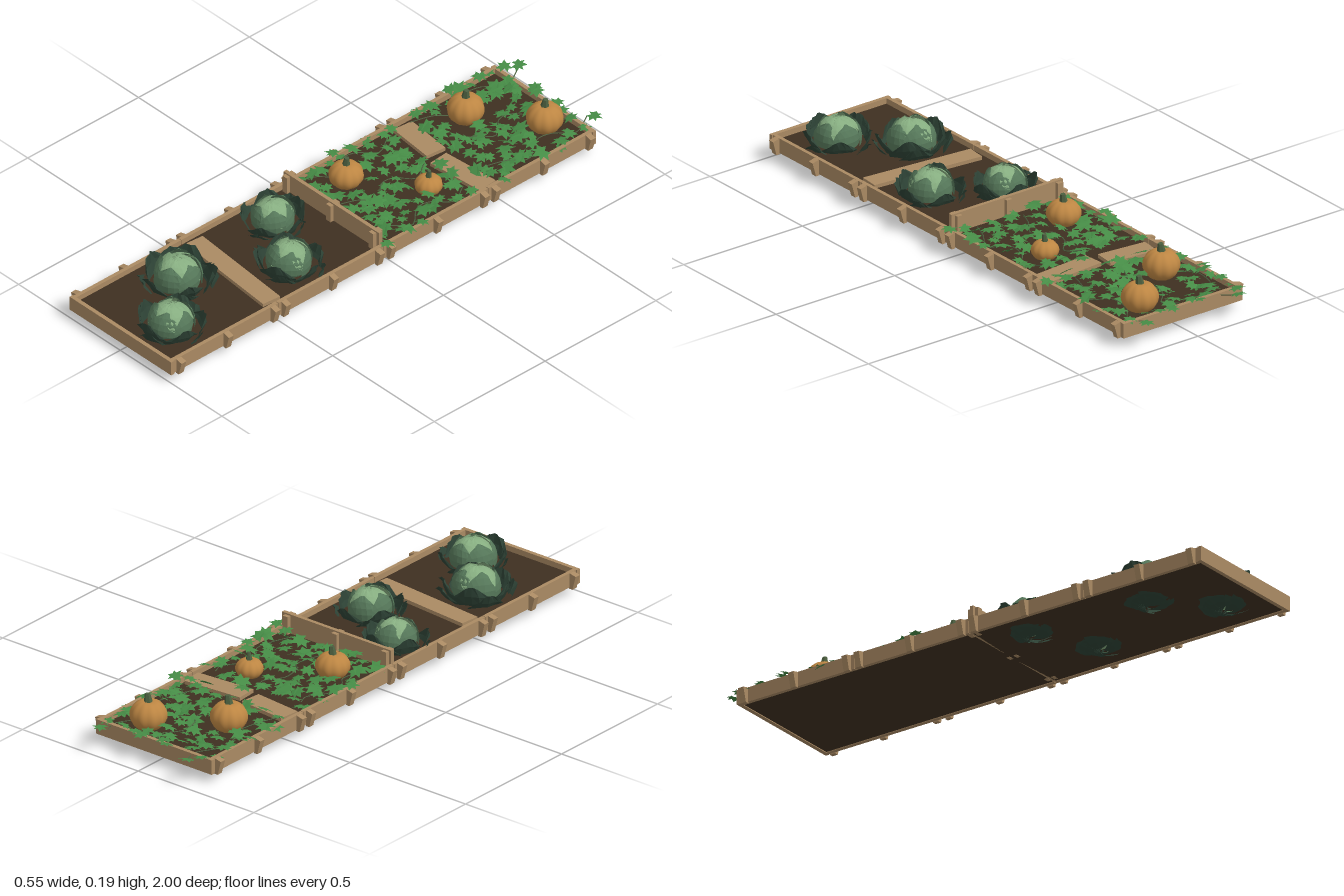
import * as THREE from 'three';
import { mergeGeometries } from 'three/addons/utils/BufferGeometryUtils.js';

const flat = (name, color) => new THREE.MeshStandardMaterial({ name, color, flatShading: true, side: THREE.DoubleSide });
const mats = {
  wood: flat('wood', 0xaa8a63),
  soil: flat('soil', 0x3f3021),
  outer: flat('darkCabbage', 0x2d4235),
  middle: flat('midCabbage', 0x56785a),
  heart: flat('paleCabbage', 0x86ad80),
  pumpkin: new THREE.MeshStandardMaterial({ name: 'pumpkinOrange', color: 0xbd8643 }),
  stem: flat('stemGreen', 0x4c6040),
  leaf: flat('leafGreen', 0x468c46),
};

// Small seeded generator for scattering leaves
let seed = 7;
const rnd = () => {
  seed = (seed * 16807) % 2147483647;
  return seed / 2147483647;
};
const spread = (a) => (rnd() * 2 - 1) * a;

function add(parent, name, geometry, material, x = 0, y = 0, z = 0, ry = 0) {
  const mesh = new THREE.Mesh(geometry, material);
  mesh.name = name;
  mesh.position.set(x, y, z);
  mesh.rotation.y = ry;
  parent.add(mesh);
  return mesh;
}
const box = (parent, name, w, h, d, x, y, z, ry = 0, mat = mats.wood) =>
  add(parent, name, new THREE.BoxGeometry(w, h, d), mat, x, y, z, ry);

// Wedge stake leaning against the outside of a side board
function stakeGeometry(side) {
  const shape = new THREE.Shape([[0.244, 0.022], [0.258, 0.022], [0.272, 0.073], [0.244, 0.08]]
    .map(([x, y]) => new THREE.Vector2(x, y)));
  const g = new THREE.ExtrudeGeometry(shape, { depth: 0.022, bevelEnabled: false });
  g.translate(0, 0, -0.011);
  if (side < 0) g.rotateY(Math.PI);
  return g;
}

// Cupped leaf: a grid bent onto a sphere between two elevations, flaring outwards
function cabbageLeaf(az, halfWidth, e0, e1, r0, r1, ripple) {
  const g = new THREE.PlaneGeometry(2, 1, 6, 6);
  const p = g.attributes.position;
  for (let i = 0; i < p.count; i++) {
    const u = p.getX(i), v = p.getY(i) + 0.5;
    const width = halfWidth * Math.sqrt(Math.max(0.04, 1 - ((v - 0.5) / 0.53) ** 2));
    const e = e0 + (e1 - e0) * v * (1 - 0.08 * u * u);
    const a = az + u * width;
    const r = r0 + (r1 - r0) * v * v + ripple * v * Math.cos(u * 7 + az * 3) + 0.005 * u;
    p.setXYZ(i, r * Math.cos(e) * Math.cos(a), r * Math.sin(e), r * Math.cos(e) * Math.sin(a));
  }
  g.computeVertexNormals();
  return g;
}

function leafRing(count, turn, ...rest) {
  const parts = [];
  for (let i = 0; i < count; i++) parts.push(cabbageLeaf(turn + (i / count) * Math.PI * 2, ...rest));
  return mergeGeometries(parts);
}

function cabbage(x, y, z, scale, ry, tilt) {
  const g = new THREE.Group();
  g.name = 'cabbage';
  add(g, 'heart', new THREE.IcosahedronGeometry(0.068, 2), mats.heart);
  add(g, 'crownLeaves', leafRing(4, 0.4, 0.85, 0.0, 1.5, 0.074, 0.073, 0.001), mats.heart);
  add(g, 'wrappingLeaves', leafRing(5, 0, 0.8, -0.8, 0.95, 0.08, 0.08, 0.001), mats.middle);
  add(g, 'outerLeaves', leafRing(5, 0.5, 0.85, -1.5, 0.3, 0.083, 0.119, 0.004), mats.outer);
  add(g, 'lowerLeaves', leafRing(4, 0, 0.75, -1.5, 0.08, 0.085, 0.128, 0.004), mats.outer);
  g.position.set(x, y, z);
  g.rotation.set(tilt, ry, tilt);
  g.scale.setScalar(scale);
  return g;
}

// Ribbed body from a sphere, with a bent stem
function pumpkin(x, z, radius, top) {
  const g = new THREE.Group();
  g.name = 'pumpkin';
  const body = new THREE.SphereGeometry(1, 50, 16);
  const p = body.attributes.position;
  const h = (top - 0.05) / 2;
  for (let i = 0; i < p.count; i++) {
    const px = p.getX(i), py = p.getY(i), pz = p.getZ(i);
    const ring = Math.hypot(px, pz);
    const rib = 0.94 + 0.06 * Math.abs(Math.cos(Math.atan2(pz, px) * 5));
    const dip = 1 - 0.16 * Math.max(0, 1 - ring * 2.2);
    p.setXYZ(i, px * radius * rib, py * h * dip, pz * radius * rib);
  }
  body.computeVertexNormals();
  add(g, 'pumpkinBody', body, mats.pumpkin);
  const stem = new THREE.CylinderGeometry(0.14 * radius, 0.26 * radius, 0.036, 6);
  add(g, 'pumpkinStem', stem, mats.stem, 0.03 * radius, h + 0.004, 0).rotation.z = -0.12;
  g.position.set(x, 0.05 + h, z);
  return g;
}

// Five-lobed vine leaf, mirrored about its midrib and slightly folded
function vineLeafGeometry() {
  const half = [[0, -0.22], [0.24, -0.48], [0.28, -0.22], [0.56, -0.1], [0.3, 0.08], [0.42, 0.36], [0.16, 0.26]];
  const pts = [...half, [0, 0.6], ...half.slice(1).reverse().map(([x, y]) => [-x, y])];
  const g = new THREE.ShapeGeometry(new THREE.Shape(pts.map(([x, y]) => new THREE.Vector2(x, y))));
  const p = g.attributes.position;
  for (let i = 0; i < p.count; i++) p.setZ(i, -0.3 * p.getX(i) ** 2 - 0.15 * p.getY(i) ** 2);
  g.rotateX(-Math.PI / 2);
  g.computeVertexNormals();
  return g;
}

export function createModel() {
  const model = new THREE.Group();

  // Soil and the frames of the two beds
  box(model, 'soil', 0.48, 0.03, 1.9, 0, 0.045, 0.037, 0, mats.soil);
  for (const z of [-0.911, 0.992]) box(model, 'endBoard', 0.5, 0.053, 0.015, 0, 0.0535, z);
  for (const side of [-1, 1]) {
    for (const [z0, z1] of [[-0.91, -0.437], [-0.435, 0.036], [0.038, 0.511], [0.513, 0.99]])
      box(model, 'sideBoard', 0.014, 0.053, z1 - z0, side * 0.239, 0.0535, (z0 + z1) / 2);
    for (const z of [-0.886, -0.68, -0.46, -0.41, -0.2, 0.012, 0.064, 0.272, 0.488, 0.536, 0.748, 0.962])
      add(model, 'stake', stakeGeometry(side), mats.wood, 0, 0, z);
  }

  // Raised divider between the beds
  box(model, 'divider', 0.47, 0.1, 0.014, 0, 0.08, 0.04);
  for (const x of [-0.215, 0, 0.21])
    for (const dz of [-0.014, 0.014]) box(model, 'dividerStake', 0.022, 0.095, 0.014, x, 0.077, 0.04 + dz);

  // Stepping planks
  box(model, 'plank', 0.425, 0.014, 0.072, 0, 0.066, 0.492, -0.09);
  box(model, 'plank', 0.185, 0.014, 0.078, -0.122, 0.066, -0.462, -0.1);
  box(model, 'plank', 0.225, 0.014, 0.078, 0.112, 0.066, -0.444, 0.08);

  // Cabbages
  for (const c of [[-0.12, 0.083, 0.2, 0.92, 1.9, 0.04], [0.095, 0.085, 0.325, 0.96, 0.6, -0.06],
    [-0.087, 0.092, 0.66, 1.02, 2.6, 0.05], [0.08, 0.083, 0.845, 0.98, 0.2, -0.05]]) model.add(cabbage(...c));

  // Pumpkins: x, z, radius, top of body
  const pumpkins = [[0.105, -0.82, 0.064, 0.16], [-0.11, -0.66, 0.064, 0.16],
    [0.1, -0.3, 0.048, 0.122], [-0.115, -0.125, 0.06, 0.145]];
  for (const p of pumpkins) model.add(pumpkin(...p));

  // Vine leaves scattered over the back bed, with a few trailing past the frame
  const leaf = vineLeafGeometry();
  const leaves = [];
  const place = (x, y, z, size) => {
    const q = new THREE.Quaternion().setFromEuler(new THREE.Euler(spread(0.35), rnd() * 6.28, spread(0.35)));
    leaves.push(leaf.clone().applyMatrix4(new THREE.Matrix4().compose(
      new THREE.Vector3(x, y, z), q, new THREE.Vector3(size, size, size))));
  };
  for (let row = 0; row < 20; row++) {
    for (let col = 0; col < 9; col++) {
      const x = -0.215 + col * 0.054 + spread(0.024);
      const z = -0.895 + row * 0.0465 + spread(0.022);
      const size = 0.04 + rnd() * 0.03;
      if (pumpkins.some(([px, pz, r]) => Math.hypot(x - px, z - pz) < r + 0.008)) continue;
      if (Math.abs(z + 0.45) < 0.05 && rnd() < 0.8) continue;
      place(x, 0.073 + rnd() * 0.02, z, size);
    }
  }
  const trailing = [[-0.19, -0.972], [0.19, -0.965], [-0.245, -0.71], [-0.245, -0.185], [0.25, -0.505],
    [0.25, 0.025], [-0.215, -0.93], [-0.06, -0.925], [0.05, -0.925]];
  for (const [x, z] of trailing) place(x, 0.088, z, 0.052);
  add(model, 'vineLeaves', mergeGeometries(leaves), mats.leaf);

  // Thin vines winding between the pumpkins
  for (const [x, z0, z1] of [[-0.18, -0.96, -0.5], [0.17, -0.95, -0.52], [0.0, -0.9, -0.55],
    [-0.19, -0.38, 0.0], [0.18, -0.38, 0.0], [0.0, -0.37, -0.02]]) {
    const pts = [];
    for (let i = 0; i <= 6; i++)
      pts.push(new THREE.Vector3(x + 0.03 * Math.sin(i * 1.9), 0.072 + 0.008 * Math.cos(i * 2.3), z0 + (z1 - z0) * i / 6));
    add(model, 'vine', new THREE.TubeGeometry(new THREE.CatmullRomCurve3(pts), 24, 0.002, 4), mats.stem);
  }
  return model;
}
